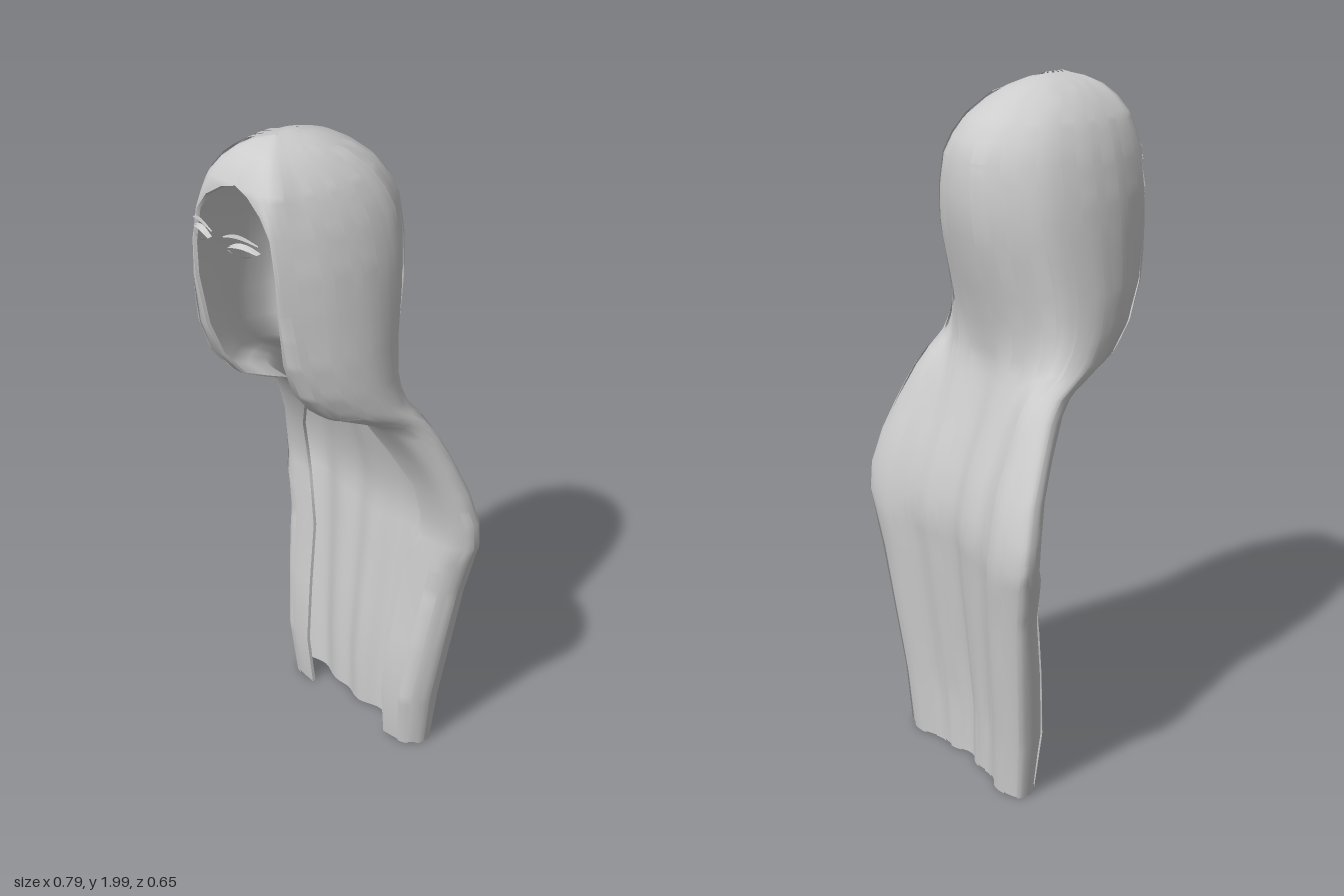
import * as THREE from 'three';

// Levels of the hair: y, half width, half opening, front z, back z, blend from head to mantle section
const LEVELS = [
  [0.02, 0.28, 0.165, -0.15, -0.25, 1], [0.2, 0.3, 0.17, -0.13, -0.26, 1],
  [0.4, 0.325, 0.18, -0.15, -0.28, 1], [0.6, 0.35, 0.195, -0.18, -0.298, 1],
  [0.72, 0.378, 0.21, -0.182, -0.312, 1], [0.77, 0.392, 0.238, -0.2, -0.315, 1],
  [0.85, 0.395, 0.245, -0.195, -0.306, 1], [0.95, 0.375, 0.235, -0.172, -0.278, 1],
  [1.05, 0.35, 0.18, -0.13, -0.238, 0.9], [1.15, 0.32, 0.148, -0.07, -0.203, 0.7],
  [1.2, 0.305, 0.135, -0.02, -0.185, 0.5], [1.235, 0.298, 0.135, 0.06, -0.175, 0.3],
  [1.27, 0.29, 0.138, 0.135, -0.165, 0.15], [1.35, 0.28, 0.145, 0.2, -0.165, 0.05],
  [1.45, 0.27, 0.155, 0.24, -0.185, 0], [1.6, 0.252, 0.165, 0.265, -0.225, 0],
  [1.7, 0.238, 0.163, 0.27, -0.235, 0], [1.8, 0.212, 0.143, 0.27, -0.23, 0],
  [1.85, 0.19, 0.105, 0.268, -0.208, 0], [1.885, 0.172, 0.05, 0.262, -0.182, 0],
  [1.9, 0.162, 0, 0.258, -0.168, 0], [1.94, 0.128, 0, 0.235, -0.115, 0],
  [1.97, 0.09, 0, 0.205, -0.06, 0], [1.99, 0.05, 0, 0.165, 0, 0], [2, 0, 0, 0.12, 0.05, 0],
];
// Half sections from beside the front edge to the back centre: x / half width, depth from back
const HEAD = [[0.72, 0.98], [0.9, 0.79], [0.98, 0.63], [1, 0.47], [0.93, 0.28], [0.72, 0.14], [0.43, 0.04], [0, 0]];
const MANTLE = [[0.85, 0.9], [0.97, 0.62], [1, 0.35], [0.96, 0.1], [0.72, -0.03], [0.46, 0.23], [0.23, 0.23], [0, 0.43]];

const levelAt = y => {
  let i = 1;
  while (i < LEVELS.length - 1 && LEVELS[i][0] < y) i++;
  const a = LEVELS[i - 1], b = LEVELS[i];
  const t = THREE.MathUtils.clamp((y - a[0]) / (b[0] - a[0]), 0, 1);
  return a.map((v, k) => v + (b[k] - v) * t);
};

// Point on the hair, u running from left front edge round the back to the right; inset moves inwards
function hairPoint(u, y, inset = 0) {
  const [, w, e, f, b, k] = levelAt(y);
  const half = [new THREE.Vector2(e, f)];
  HEAD.forEach(([hx, hs], i) => {
    const x = (hx + (MANTLE[i][0] - hx) * k) * w, s = hs + (MANTLE[i][1] - hs) * k;
    half.push(new THREE.Vector2(x, b + s * (f - b)));
  });
  const mirrored = half.slice(0, -1).reverse().map(p => new THREE.Vector2(-p.x, p.y));
  const curve = new THREE.SplineCurve([...half, ...mirrored]);
  const p = curve.getPoint(u), t = curve.getTangent(u);
  const d = inset * Math.min(1, w / 0.05);
  const drop = inset * Math.max(0, (y - 1.8) / 0.2);
  return [p.x + t.y * d, y - drop, p.y - t.x * d];
}

// Surface from a point rule over a grid
function gridGeometry(nu, nv, rule) {
  const pos = [], idx = [];
  for (let j = 0; j <= nv; j++) for (let i = 0; i <= nu; i++) pos.push(...rule(i / nu, j / nv, j));
  for (let j = 0; j < nv; j++) for (let i = 0; i < nu; i++) {
    const a = j * (nu + 1) + i, c = a + nu + 1;
    idx.push(a, c, a + 1, a + 1, c, c + 1);
  }
  const g = new THREE.BufferGeometry();
  g.setAttribute('position', new THREE.Float32BufferAttribute(pos, 3));
  g.setIndex(idx);
  g.computeVertexNormals();
  return g;
}

export function createModel() {
  const model = new THREE.Group();
  model.name = 'longHair';
  const grey = new THREE.MeshStandardMaterial({ color: 0xcccccc, side: THREE.DoubleSide });
  grey.name = 'light grey';
  const add = (name, geometry) => {
    const mesh = new THREE.Mesh(geometry, grey);
    mesh.name = name;
    model.add(mesh);
  };
  const THICK = 0.01, rows = LEVELS.length - 1;
  const rowY = j => LEVELS[j][0];

  // Outer and inner skins of the hair
  add('outerHair', gridGeometry(64, rows, (u, v, j) => hairPoint(u, rowY(j))));
  add('innerHair', gridGeometry(64, rows, (u, v, j) => hairPoint(1 - u, rowY(j), THICK)));

  // Rims joining the skins at the front edges and the bottom
  for (const side of [0, 1]) {
    add(side ? 'rightFrontRim' : 'leftFrontRim',
      gridGeometry(1, rows, (u, v, j) => hairPoint(side, rowY(j), u * THICK)));
  }
  add('bottomRim', gridGeometry(64, 1, (u, v) => hairPoint(u, rowY(0), v * THICK)));

  // Raised locks lying on the hair, those that reach the crown meeting over it: u from, u to, y from, y to
  const locks = [
    [0.04, 0.075, 1.24, 1.6], [0.09, 0.125, 1.22, 2], [0.15, 0.19, 1.1, 2], [0.215, 0.255, 0.9, 2],
    [0.285, 0.33, 0.02, 2], [0.36, 0.4, 0.02, 2], [0.43, 0.465, 0.02, 1.9],
    [0.05, 0.085, 0.02, 0.68], [0.12, 0.17, 0.02, 0.9], [0.2, 0.24, 0.02, 0.8],
  ];
  for (const mirror of [false, true]) for (const [u0, u1, y0, y1] of locks) {
    add(mirror ? 'rightLock' : 'leftLock', gridGeometry(4, 40, (u, v) => {
      const at = u0 + (u1 - u0) * u, y = y0 + (y1 - y0) * v;
      const fadeIn = y0 > 0.02 ? Math.min(1, v * 6) : 1, fadeOut = y1 < 2 ? Math.min(1, (1 - v) * 5) : 1;
      return hairPoint(mirror ? 1 - at : at, y, -0.005 * fadeIn * fadeOut);
    }));
  }

  // Eyebrows and eyelids: thin tapered ribbons bent round the face
  const faceZ = x => 0.32 - 2.6 * Math.max(0, x - 0.03) ** 2;
  const ribbon = (name, x0, x1, y, rise, thick, lean) => {
    for (const s of [1, -1]) add((s > 0 ? 'left' : 'right') + name, gridGeometry(12, 1, (u, v) => {
      const x = x0 + (x1 - x0) * u, arch = Math.sin(Math.PI * u);
      return [s * x, y + rise * arch + (v - 0.5) * thick * (0.3 + arch), faceZ(x) - lean * v];
    }));
  };
  ribbon('Eyebrow', 0.022, 0.128, 1.788, 0.014, 0.008, 0.002);
  ribbon('UpperLid', 0.038, 0.125, 1.764, 0.012, 0.007, 0.014);
  ribbon('LidCrease', 0.045, 0.12, 1.77, 0.014, 0.003, 0.004);
  ribbon('LowerLid', 0.045, 0.115, 1.76, -0.01, 0.004, -0.004);

  return model;
}
